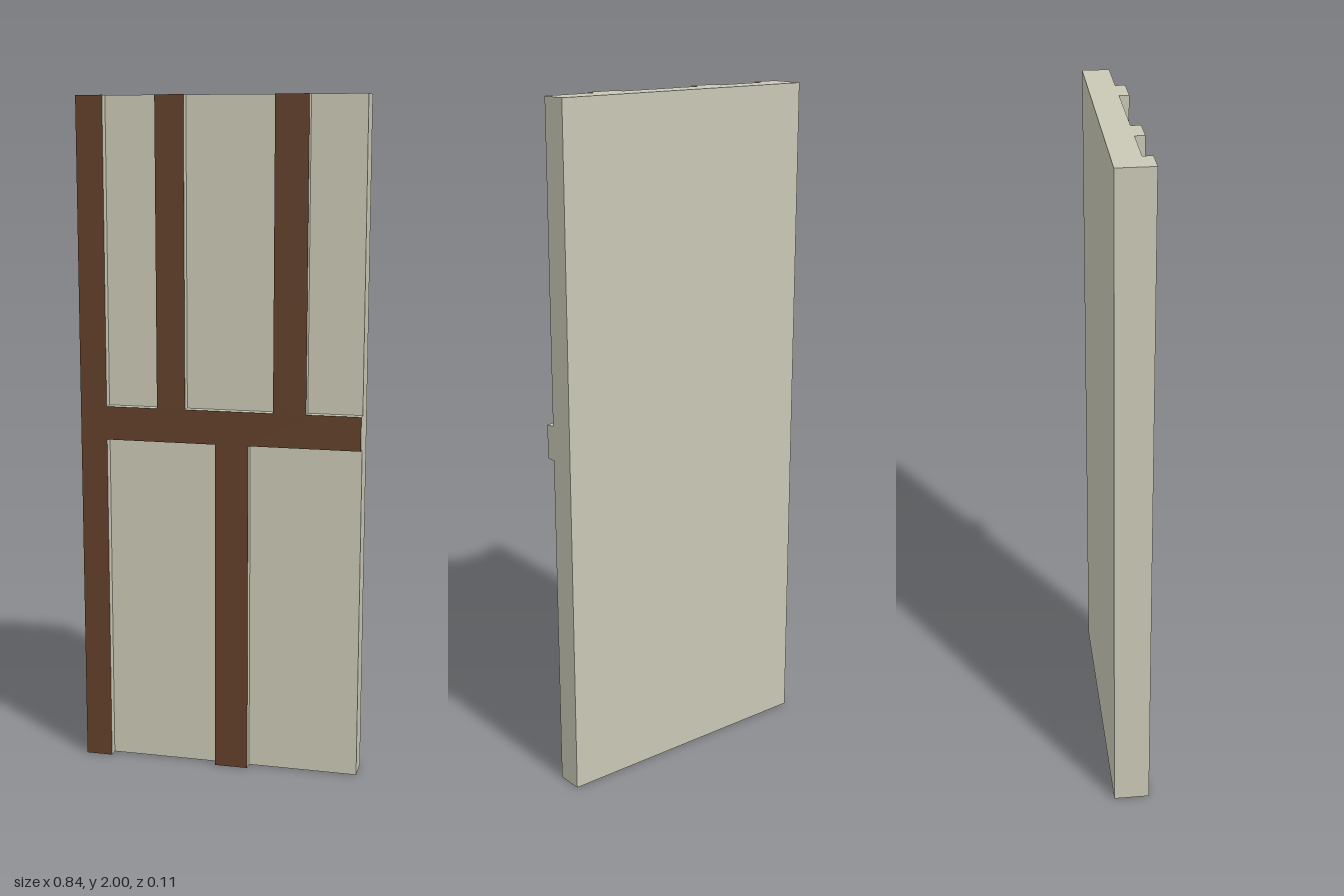
import * as THREE from 'three';

export function createModel() {
  const group = new THREE.Group();
  group.name = 'timberWallPanel';

  const plaster = new THREE.MeshStandardMaterial({ color: 0xc9c7b4 });
  plaster.name = 'cream plaster';
  const timber = new THREE.MeshStandardMaterial({ color: 0x62402b });
  timber.name = 'brown timber';

  const halfW = 0.42, height = 2, back = -0.053, recess = 0.025, front = 0.053;
  const railBottom = 1.0, railTop = 1.1;

  // Plain slab behind the timbers
  const slab = new THREE.Mesh(
    new THREE.BoxGeometry(halfW * 2, height, recess - back), plaster);
  slab.name = 'plasterSlab';
  slab.position.set(0, height / 2, (recess + back) / 2);
  group.add(slab);

  // Raised frame: edge post, cross rail, two upper studs and one lower stud
  const outline = [
    [-halfW, 0], [-0.34, 0], [-0.34, railBottom],
    [-0.01, railBottom], [-0.01, 0], [0.09, 0], [0.09, railBottom],
    [halfW, railBottom], [halfW, railTop],
    [0.26, railTop], [0.26, height], [0.163, height], [0.163, railTop],
    [-0.1, railTop], [-0.1, height], [-0.185, height], [-0.185, railTop],
    [-0.34, railTop], [-0.34, height], [-halfW, height],
  ].map(([x, y]) => new THREE.Vector2(x, y));
  const frameGeometry = new THREE.ExtrudeGeometry(new THREE.Shape(outline), {
    depth: front - recess, bevelEnabled: false,
  });

  // Brown faces with plaster-coloured edges
  const frame = new THREE.Mesh(frameGeometry, [timber, plaster]);
  frame.name = 'timberFrame';
  frame.position.z = recess;
  group.add(frame);

  return group;
}
